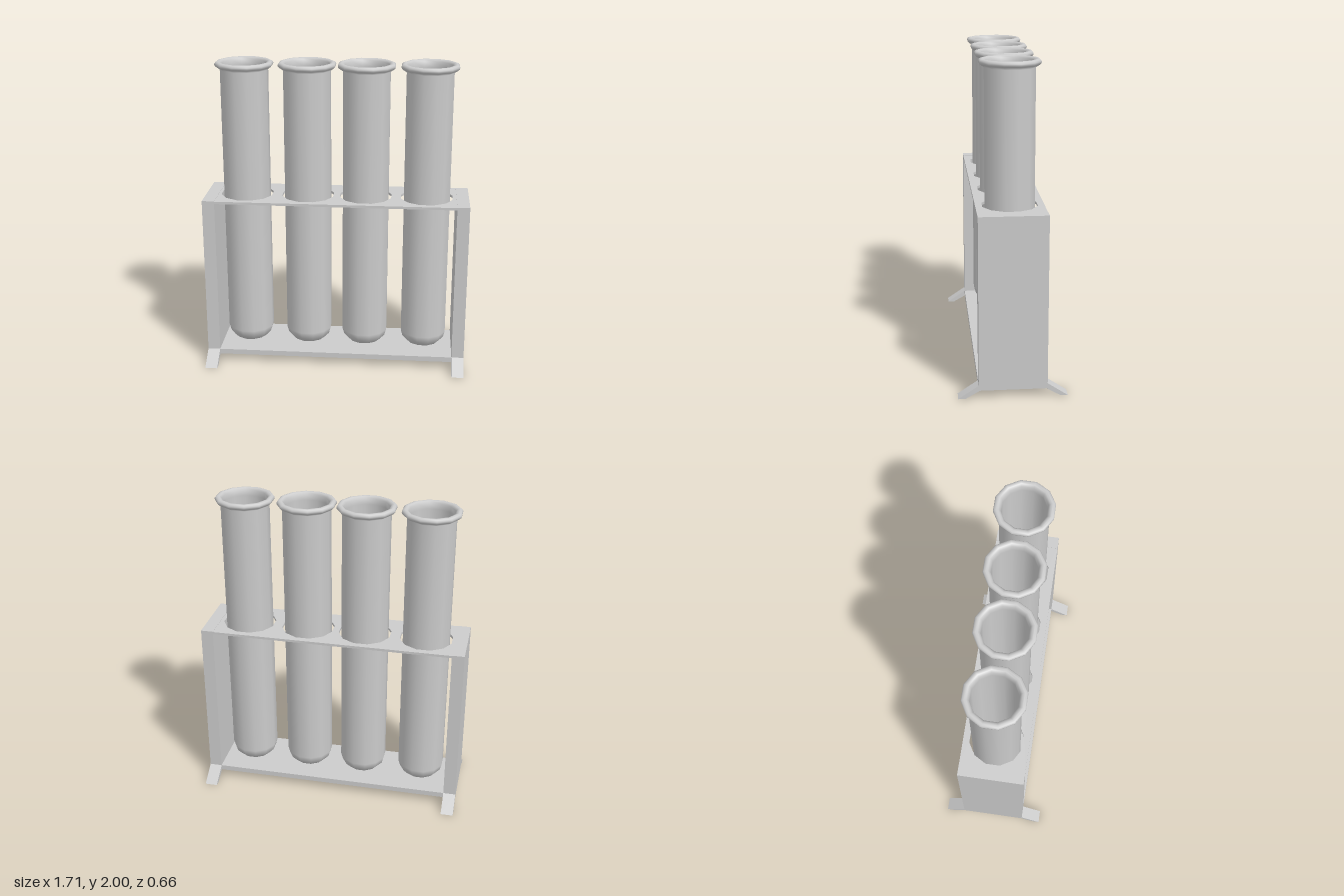
import * as THREE from 'three';

export function createModel() {
  const model = new THREE.Group();
  const material = new THREE.MeshStandardMaterial({ color: 0xcccccc });
  const add = (name, geometry, x = 0, y = 0, z = 0, parent = model) => {
    const mesh = new THREE.Mesh(geometry, material);
    mesh.name = name;
    mesh.position.set(x, y, z);
    parent.add(mesh);
    return mesh;
  };

  const tubeX = [-0.59, -0.19, 0.187, 0.583];
  const sides = 12;
  const turn = Math.PI / sides;
  const depth = 0.415;

  // Rack: two thick uprights and a bottom shelf
  const rack = new THREE.Group();
  rack.name = 'rack';
  model.add(rack);
  for (const s of [-1, 1]) {
    add(s > 0 ? 'leftUpright' : 'rightUpright', new THREE.BoxGeometry(0.08, 1.08, depth), s * 0.815, 0.59, 0, rack);
  }
  add('bottomShelf', new THREE.BoxGeometry(1.55, 0.034, depth), 0, 0.065, 0, rack);

  // Thin top plate with a hole around each tube
  const plate = new THREE.Shape();
  plate.moveTo(-0.775, -depth / 2);
  plate.lineTo(0.775, -depth / 2);
  plate.lineTo(0.775, depth / 2);
  plate.lineTo(-0.775, depth / 2);
  plate.closePath();
  for (const x of tubeX) {
    const corners = [];
    for (let i = 0; i < sides; i++) {
      const a = turn - (i * 2 * Math.PI) / sides;
      corners.push(new THREE.Vector2(x + 0.172 * Math.cos(a), 0.172 * Math.sin(a)));
    }
    plate.holes.push(new THREE.Path(corners));
  }
  const plateGeometry = new THREE.ExtrudeGeometry(plate, { depth: 0.016, bevelEnabled: false });
  plateGeometry.rotateX(-Math.PI / 2);
  add('topPlate', plateGeometry, 0, 1.112, 0, rack);

  // Splayed feet at the four corners
  const foot = new THREE.Shape();
  foot.moveTo(0.205, 0.084);
  foot.lineTo(0.205, 0.047);
  foot.lineTo(0.288, 0);
  foot.lineTo(0.331, 0);
  foot.closePath();
  const footGeometry = new THREE.ExtrudeGeometry(foot, { depth: 0.08, bevelEnabled: false });
  footGeometry.translate(0, 0, -0.04);
  for (const sx of [-1, 1]) {
    for (const sz of [-1, 1]) {
      add('foot', footGeometry, sx * 0.815, 0, 0, rack).rotation.y = -sz * Math.PI / 2;
    }
  }

  // Tube profile: round bottom, straight wall, rolled lip, inner wall, inner bottom
  const profile = [];
  const arc = (cx, cy, r, ry, from, to, steps) => {
    for (let i = 0; i <= steps; i++) {
      const a = THREE.MathUtils.degToRad(from + ((to - from) * i) / steps);
      profile.push(new THREE.Vector2(Math.max(0, cx + r * Math.cos(a)), cy + ry * Math.sin(a)));
    }
  };
  arc(0, 0.19, 0.153, 0.11, -90, 0, 4);
  profile.push(new THREE.Vector2(0.153, 1.95));
  arc(0.166, 1.982, 0.021, 0.018, -60, 120, 5);
  profile.push(new THREE.Vector2(0.143, 1.985), new THREE.Vector2(0.139, 1.95));
  arc(0, 0.2, 0.139, 0.1, 0, -90, 4);
  const tubeGeometry = new THREE.LatheGeometry(profile, sides, turn);
  tubeX.forEach((x) => add('testTube', tubeGeometry, x));

  return model;
}
